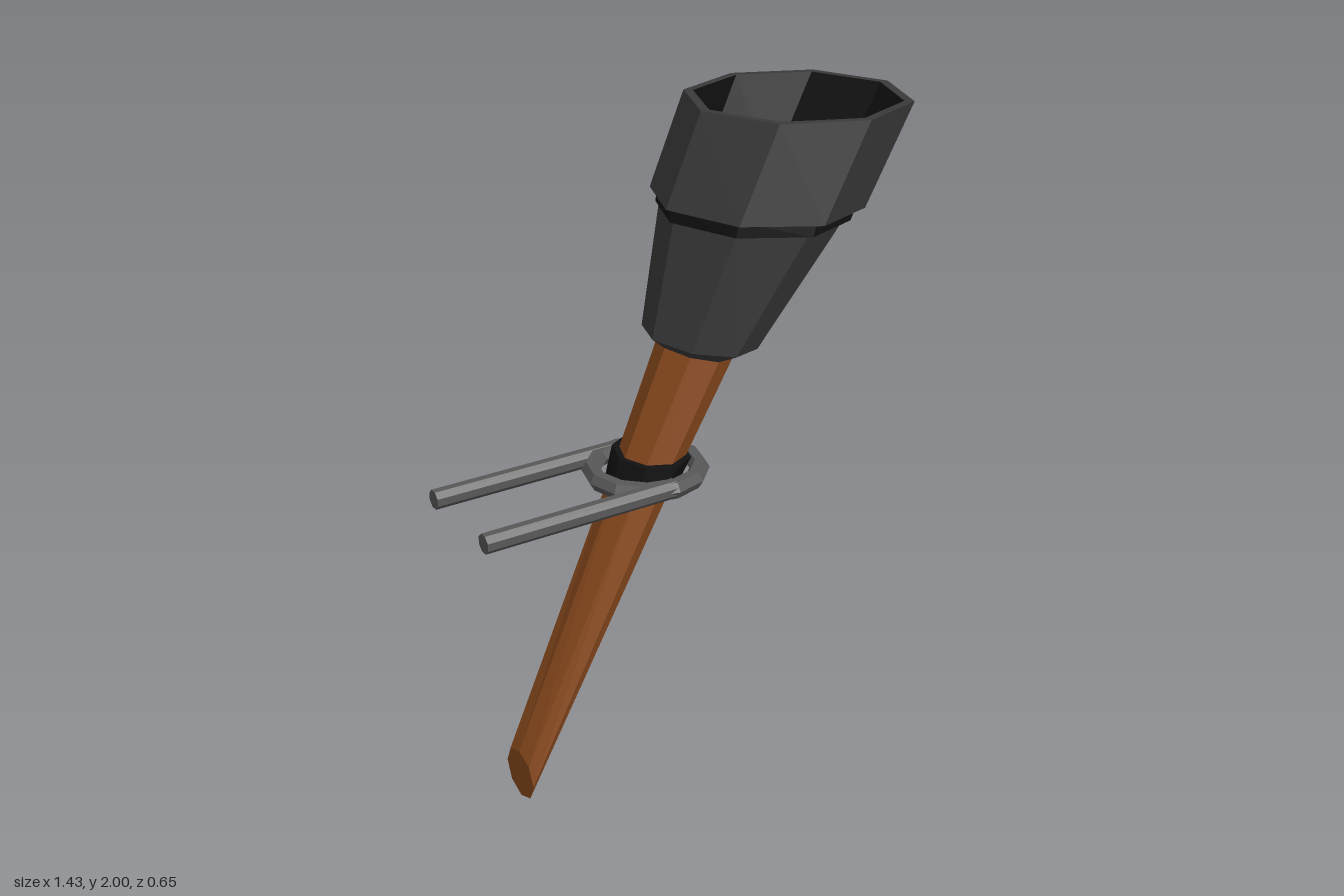
import * as THREE from 'three';

const SIDES = 8;
const material = (color) => new THREE.MeshStandardMaterial({ color, flatShading: true });

// Lofts octagonal rings [xLeft, yLeft, xRight, yRight, halfDepth], which may each be tilted.
function loft(rings, capStart = true, capEnd = true) {
  const pos = [], idx = [];
  const rows = rings.map(([x0, y0, x1, y1, hz]) => {
    const start = pos.length / 3;
    for (let i = 0; i < SIDES; i++) {
      const t = (i / SIDES) * Math.PI * 2, c = Math.cos(t);
      pos.push((x0 + x1) / 2 + c * (x1 - x0) / 2, (y0 + y1) / 2 + c * (y1 - y0) / 2, Math.sin(t) * hz);
    }
    return start;
  });
  for (let r = 0; r < rows.length - 1; r++) {
    for (let i = 0; i < SIDES; i++) {
      const n = (i + 1) % SIDES;
      const a = rows[r] + i, b = rows[r] + n, c = rows[r + 1] + n, d = rows[r + 1] + i;
      idx.push(a, d, c, a, c, b);
    }
  }
  const last = rows[rows.length - 1];
  for (let i = 1; i < SIDES - 1; i++) {
    if (capStart) idx.push(0, i, i + 1);
    if (capEnd) idx.push(last, last + i + 1, last + i);
  }
  const geo = new THREE.BufferGeometry();
  geo.setAttribute('position', new THREE.Float32BufferAttribute(pos, 3));
  geo.setIndex(idx);
  geo.computeVertexNormals();
  return geo;
}

export function createModel() {
  const group = new THREE.Group();
  group.name = 'wallTorch';
  const wood = material(0x8a4a1e), iron = material(0x3a3a3a);
  const black = material(0x121212), steel = material(0x585858);
  const add = (name, geo, mat) => {
    const mesh = new THREE.Mesh(geo, mat);
    mesh.name = name;
    group.add(mesh);
    return mesh;
  };

  // Leaning handle, its foot cut flush with the wall
  add('handle', loft([
    [-0.571, 0.165, -0.571, 0.005, 0.082],
    [-0.21, 0.985, -0.035, 0.975, 0.104],
    [-0.045, 1.36, 0.15, 1.30, 0.126],
  ]), wood);

  // Dark grip between handle and holder ring
  add('gripCollar', loft([
    [-0.238, 0.935, -0.05, 0.935, 0.118],
    [-0.205, 1.033, 0.005, 1.033, 0.137],
  ]), black);

  // Lower funnel of the head
  add('headFunnel', loft([
    [-0.055, 1.343, 0.148, 1.296, 0.125],
    [-0.093, 1.375, 0.22, 1.327, 0.186],
    [-0.022, 1.71, 0.49, 1.685, 0.272],
  ]), iron);

  // Dark band under the bowl
  add('headBand', loft([
    [-0.034, 1.706, 0.513, 1.682, 0.285],
    [-0.03, 1.75, 0.535, 1.725, 0.285],
  ]), black);

  // Bowl: outer wall and flat rim
  const rimInner = [0.092, 2, 0.682, 2, 0.297];
  const floor = [-0.022, 1.742, 0.53, 1.72, 0.287];
  add('bowl', loft([
    [-0.047, 1.744, 0.553, 1.718, 0.315],
    [0.065, 2, 0.71, 2, 0.325],
    rimInner,
  ], true, false), iron);
  add('bowlLining', loft([rimInner, floor], false, false), black);
  const floorHigh = floor.map((v, i) => (i % 2 ? v + 0.004 : v));
  floorHigh[4] = floor[4];
  add('bowlFloor', loft([floorHigh], false, true), iron);

  // Holder ring with two bars running back to the wall
  const ring = add('holderRing', new THREE.TorusGeometry(0.157, 0.029, 6, 12), steel);
  ring.rotation.x = Math.PI / 2;
  ring.position.set(-0.12, 0.983, 0);
  for (const side of [-1, 1]) {
    const bar = add(side > 0 ? 'frontBar' : 'backBar', new THREE.CylinderGeometry(0.029, 0.029, 0.6, 8), steel);
    bar.rotation.set(0, Math.PI / 8, Math.PI / 2, 'ZYX');
    bar.position.set(-0.42, 0.983, side * 0.152);
  }
  return group;
}
